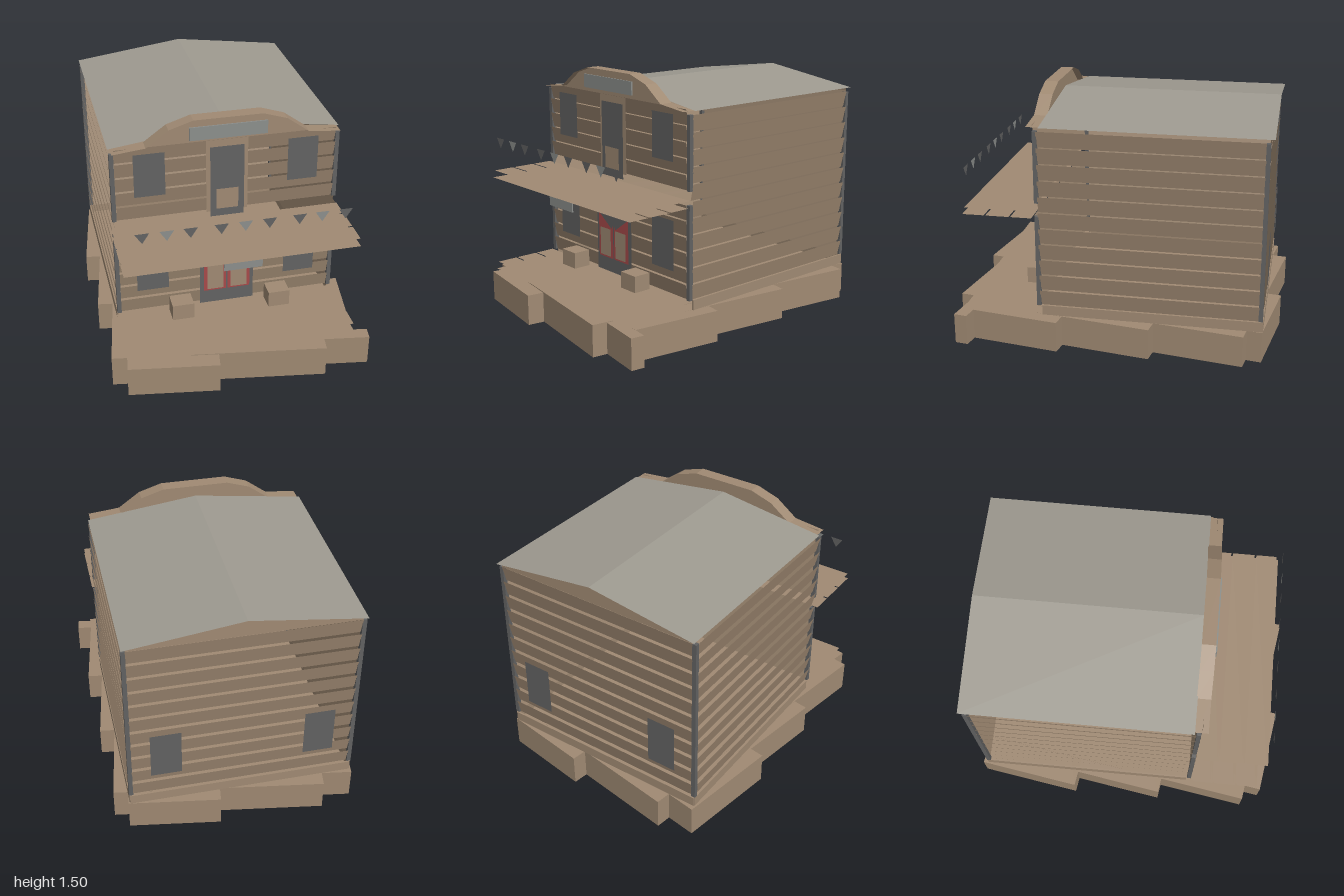
import * as THREE from 'three';

const mat = (name, color, side = THREE.FrontSide) => {
  const m = new THREE.MeshStandardMaterial({ color, side });
  m.name = name;
  return m;
};

export function createModel() {
  const wood = mat('weathered wood', 0xa08a73, THREE.DoubleSide);
  const darkGray = mat('dark gray', 0x626262, THREE.DoubleSide);
  const lightGray = mat('light gray', 0x8c8f8c, THREE.DoubleSide);
  const roofGray = mat('roof gray', 0x9e9a90, THREE.DoubleSide);
  const red = mat('red paint', 0xa84a4a, THREE.DoubleSide);

  const model = new THREE.Group();
  const house = new THREE.Group();
  house.name = 'house';
  house.position.set(-0.08, 0, -0.245);
  house.rotation.y = 0.157;
  model.add(house);

  const add = (parent, name, geo, material, x = 0, y = 0, z = 0) => {
    const m = new THREE.Mesh(geo, material);
    m.name = name;
    m.position.set(x, y, z);
    parent.add(m);
    return m;
  };
  const box = (parent, name, material, w, h, d, x, y, z) =>
    add(parent, name, new THREE.BoxGeometry(w, h, d), material, x, y, z);
  const plate = (name, material, pts, z) =>
    add(house, name, new THREE.ShapeGeometry(new THREE.Shape(pts.map(p => new THREE.Vector2(...p)))), material, 0, 0, z);
  const rect = (name, material, x, y0, y1, w, z) =>
    plate(name, material, [[x - w / 2, y0], [x + w / 2, y0], [x + w / 2, y1], [x - w / 2, y1]], z);

  // Ribbon swept from a profile of [x, y] points between two depths
  const ribbon = (pts, z0, z1) => {
    const pos = [], idx = [];
    pts.forEach(([x, y], i) => {
      pos.push(x, y, z0, x, y, z1);
      if (i) { const a = 2 * i - 2; idx.push(a, a + 1, a + 3, a, a + 3, a + 2); }
    });
    const g = new THREE.BufferGeometry();
    g.setAttribute('position', new THREE.Float32BufferAttribute(pos, 3));
    g.setIndex(idx);
    const flat = g.toNonIndexed();
    flat.computeVertexNormals();
    return flat;
  };

  // Foundation slabs: x0, x1, z0, z1
  [
    [-0.67, 0.58, -0.89, 0.9], [-0.05, 0.49, -0.98, -0.89], [-0.85, 0.58, -0.8, -0.18],
    [-0.76, 0.67, -0.35, 0.36], [-0.67, 0.76, 0.19, 0.73], [0.5, 0.85, 0.73, 0.81],
    [-0.58, -0.05, 0.9, 1.0],
  ].forEach(([x0, x1, z0, z1], i) => {
    const h = 0.19 - i * 0.0008;
    box(model, 'foundationSlab', wood, x1 - x0, h, z1 - z0, (x0 + x1) / 2, h / 2, (z0 + z1) / 2);
  });

  // Siding: loose boards leaning outward at the top
  const lean = 0.022;
  const siding = (name, len, y0, y1, n, x, z, turn) => {
    const wall = new THREE.Group();
    wall.name = name;
    wall.position.set(x, 0, z);
    wall.rotation.y = turn;
    const step = (y1 - y0) / n;
    for (let i = 0; i < n; i++) {
      const g = new THREE.PlaneGeometry(len, Math.hypot(step, lean));
      g.rotateX(Math.atan2(lean, step));
      add(wall, 'sidingBoard', g, wood, 0, y0 + (i + 0.5) * step, lean / 2);
    }
    house.add(wall);
  };
  siding('lowerFront', 1.29, 0.25, 0.81, 6, 0, 0.68, 0);
  siding('upperFront', 1.29, 0.89, 1.35, 5, 0, 0.68, 0);
  siding('backWall', 1.3, 0.25, 1.32, 11, 0, -0.62, Math.PI);
  siding('leftWall', 1.29, 0.25, 1.32, 11, 0.655, 0.03, Math.PI / 2);
  siding('rightWall', 1.29, 0.25, 1.32, 11, -0.655, 0.03, -Math.PI / 2);

  // Skirting under the walls, and corner posts
  box(house, 'backSkirt', wood, 1.33, 0.06, 0.01, 0, 0.22, -0.635);
  for (const s of [-1, 1]) {
    box(house, 'sideSkirt', wood, 0.01, 0.06, 1.3, s * 0.665, 0.22, 0.015);
    box(house, 'frontPost', darkGray, 0.025, 0.56, 0.025, s * 0.658, 0.53, 0.683);
    box(house, 'frontPost', darkGray, 0.025, 0.43, 0.025, s * 0.658, 1.105, 0.683);
    box(house, 'backPost', darkGray, 0.025, 1.06, 0.025, s * 0.66, 0.785, -0.625);
  }

  // Roof and rear gable
  add(house, 'roof', ribbon([[-0.673, 1.34], [0, 1.43], [0.673, 1.34]], -0.66, 0.66), roofGray);
  plate('backGable', wood, [[-0.65, 1.32], [0.65, 1.32], [0.65, 1.335], [0, 1.42], [-0.65, 1.335]], -0.64);

  // False-front parapet with bent cap
  const half = [[0.2, 1.5], [0.34, 1.455], [0.47, 1.36], [0.66, 1.34]];
  const arch = [...half.map(([x, y]) => [-x, y]).reverse(), ...half];
  add(house, 'parapetCap', ribbon(arch, 0.655, 0.735), wood);
  plate('parapet', wood, [[-0.645, 1.335], [0.645, 1.335], ...[...arch].reverse()], 0.698);
  box(house, 'topSign', lightGray, 0.45, 0.08, 0.008, 0, 1.42, 0.74);

  // Windows
  for (const s of [-1, 1]) {
    rect('upperWindow', darkGray, s * 0.45, 1.04, 1.31, 0.18, 0.706);
    rect('lowerWindow', darkGray, s * 0.45, 0.4, 0.7, 0.19, 0.706);
    rect('backWindow', darkGray, s * 0.45, 0.4, 0.7, 0.18, -0.648);
  }

  // Balcony door
  rect('balconyDoorSurround', wood, 0, 0.89, 1.35, 0.245, 0.705);
  rect('balconyDoor', darkGray, 0, 0.86, 1.31, 0.2, 0.711);
  rect('balconyDoorPanel', wood, 0, 0.91, 1.04, 0.13, 0.716);

  // Entrance with swinging doors
  rect('entrance', darkGray, 0, 0.25, 0.725, 0.33, 0.707);
  for (const s of [-1, 1]) {
    plate('swingDoor', red, [[s * 0.004, 0.34], [s * 0.142, 0.34], [s * 0.142, 0.615], [s * 0.02, 0.53], [s * 0.004, 0.55]], 0.713);
    plate('swingDoorPanel', wood, [[s * 0.022, 0.352], [s * 0.122, 0.352], [s * 0.122, 0.525], [s * 0.022, 0.525]], 0.718);
  }
  box(house, 'entranceSign', lightGray, 0.222, 0.06, 0.008, 0, 0.76, 1.09);

  // Porch deck and awning: two thin layers of planks each
  for (const [name, top] of [['deckPlank', 0.245], ['awningPlank', 0.842]]) {
    for (const [z0, z1] of [[0.7, 0.825], [0.835, 0.975], [0.985, 1.115]]) {
      for (const layer of [0, 1]) {
        const g = new THREE.PlaneGeometry(1.355, z1 - z0);
        g.rotateX(-Math.PI / 2);
        add(house, name, g, wood, 0, top - layer * 0.042, (z0 + z1) / 2 + layer * 0.014);
      }
    }
  }

  // Crates on the porch
  for (const s of [-1, 1]) box(house, 'crate', wood, 0.13, 0.1, 0.11, s * 0.295, 0.3, 0.785);

  // Row of pennants
  [-0.57, -0.435, -0.305, -0.135, 0, 0.135, 0.305, 0.435, 0.57].forEach((x, i) => {
    plate('pennant', i % 3 === 1 ? lightGray : darkGray,
      [[x - 0.04, 1.062], [x, 1.0], [x + 0.04, 1.062]], 1.13);
  });

  return model;
}
